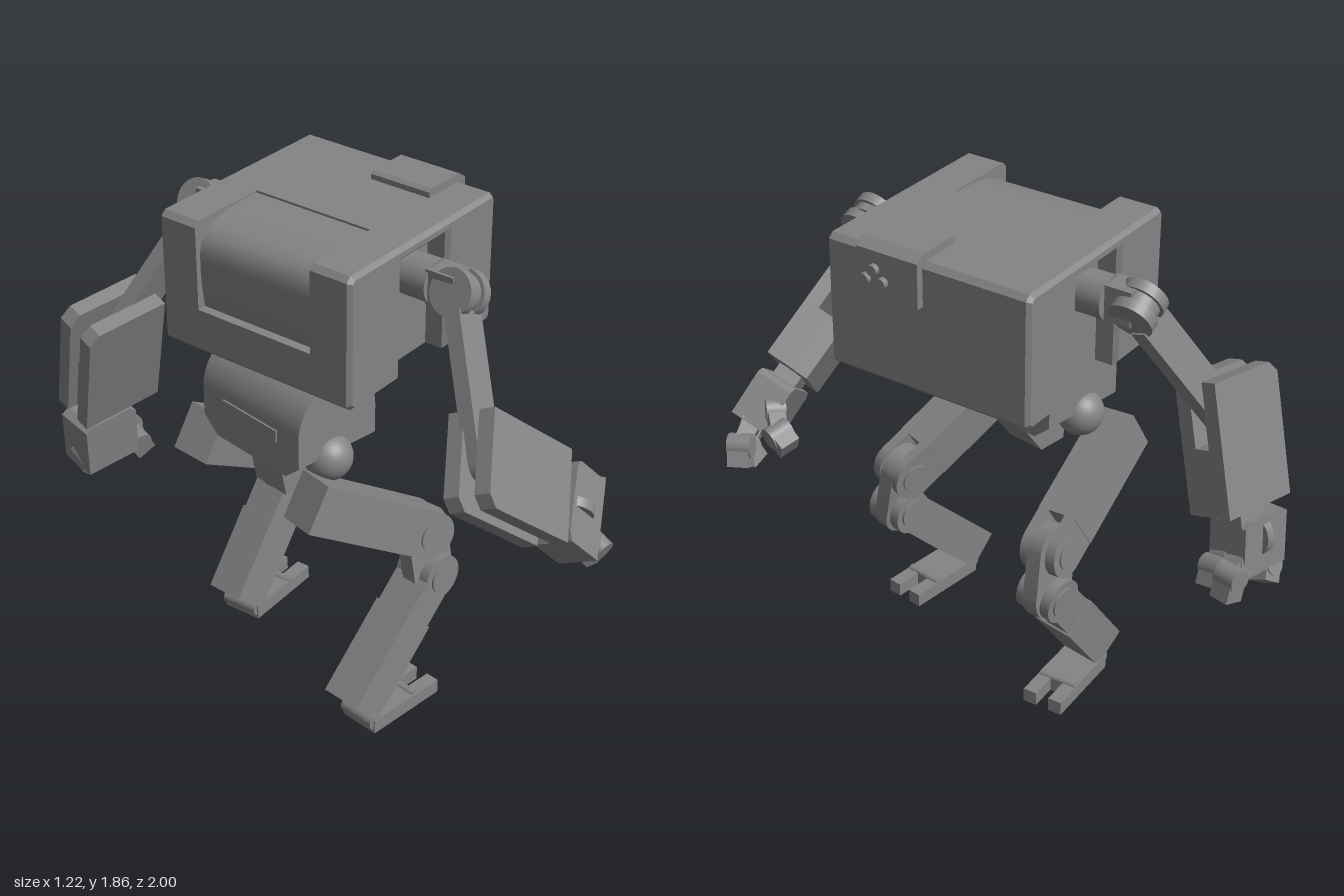
import * as THREE from 'three';
import { toCreasedNormals } from 'three/addons/utils/BufferGeometryUtils.js';

const grey = new THREE.MeshStandardMaterial({ color: 0x848484 });
const V = (p) => new THREE.Vector3(...p);

function add(parent, name, geo, pos = [0, 0, 0], rot = [0, 0, 0]) {
  const m = new THREE.Mesh(geo, grey);
  m.name = name;
  m.position.set(...pos);
  m.rotation.set(...rot);
  parent.add(m);
  return m;
}
const box = (x, y, z) => new THREE.BoxGeometry(x, y, z);
const cyl = (r, h, n = 28) => new THREE.CylinderGeometry(r, r, h, n);
// discs whose axis is local z or local x
const disc = (r, h) => cyl(r, h).rotateX(Math.PI / 2);
const discX = (r, h) => cyl(r, h).rotateZ(Math.PI / 2);

// extrude an outline along z from z0 to z1, with an optional chamfer kept inside the outline
function prism(outline, z0, z1, bevel = 0) {
  const shape = outline instanceof THREE.Shape ? outline : new THREE.Shape(outline.map(([x, y]) => new THREE.Vector2(x, y)));
  const geo = new THREE.ExtrudeGeometry(shape, {
    depth: z1 - z0 - 2 * bevel, bevelEnabled: bevel > 0, bevelSize: bevel, bevelThickness: bevel,
    bevelOffset: -bevel, bevelSegments: 1, curveSegments: 16,
  });
  return toCreasedNormals(geo.translate(0, 0, z0 + bevel), 0.45);
}

// group whose y axis runs along a direction and whose z axis is closest to a normal
function frame(parent, name, pos, along, normal) {
  const g = new THREE.Group();
  g.name = name;
  const y = V(along).normalize();
  const x = new THREE.Vector3().crossVectors(y, V(normal)).normalize();
  const z = new THREE.Vector3().crossVectors(x, y);
  g.quaternion.setFromRotationMatrix(new THREE.Matrix4().makeBasis(x, y, z));
  g.position.set(...pos);
  parent.add(g);
  return g;
}
const sub = (a, b) => a.map((v, i) => v - b[i]);
const dist = (a, b) => Math.hypot(...sub(a, b));

function buildTorso(root) {
  const t = new THREE.Group();
  t.name = 'torso';
  t.position.set(0.005, 0, -0.055);
  t.rotation.y = 0.155;
  root.add(t);
  const h = 0.41, c = 0.02, lo = 1.33, hi = 1.83;
  // middle slice with the almost flush curved hatch at the upper back
  const mid = new THREE.Shape();
  mid.moveTo(-h + c, lo);
  mid.lineTo(h - c, lo);
  mid.lineTo(h, lo + c);
  mid.lineTo(h, hi - c);
  mid.lineTo(h - c, hi);
  mid.lineTo(-0.09, hi);
  mid.lineTo(-0.09, hi - 0.008);
  mid.bezierCurveTo(-0.28, 1.822, -0.385, 1.81, -0.39, 1.7);
  mid.bezierCurveTo(-0.392, 1.64, -0.388, 1.57, -0.375, 1.5);
  mid.lineTo(-h, 1.5);
  mid.lineTo(-h, lo + c);
  add(t, 'torsoCore', prism(mid, -0.245, 0.245));
  const full = [[-h + c, lo], [h - c, lo], [h, lo + c], [h, hi - c], [h - c, hi], [-h + c, hi], [-h, hi - c], [-h, lo + c]];
  // side panel with the shoulder channel open at the bottom
  const s = 0.13;
  const panel = [[-h + c, lo], [-s, lo], [-s, 1.78], [s, 1.78], [s, lo], ...full.slice(1)];
  for (const k of [1, -1]) {
    add(t, 'torsoSide', prism(full, k > 0 ? 0.245 : -0.325, k > 0 ? 0.325 : -0.245));
    add(t, 'sidePanel', prism(panel, k > 0 ? 0.28 : -h, k > 0 ? h : -0.28, 0.015));
    add(t, 'shoulderAxle', disc(0.078, 0.14), [0, 1.67, k * 0.39]);
    add(t, 'shoulderClevis', box(0.1, 0.13, 0.11), [-0.005, 1.67, k * 0.505]);
  }
  // sensor box over the front top edge
  const hood = [[0.225, 1.8], [0.225, 1.85], [0.24, 1.86], [0.4, 1.86], [0.438, 1.835], [0.438, 1.67], [0.39, 1.67], [0.39, 1.8]];
  add(t, 'sensorBox', prism(hood, 0.01, 0.26));
  for (const [y, z] of [[1.77, 0.185], [1.73, 0.22], [1.73, 0.15]]) {
    add(t, 'sensorLens', discX(0.02, 0.03), [0.443, y, z]);
  }
}

function buildPelvis(root) {
  const p = new THREE.Group();
  p.name = 'pelvis';
  root.add(p);
  const s = new THREE.Shape();
  s.moveTo(-0.41, 1.06);
  s.lineTo(-0.05, 1.06);
  s.lineTo(-0.05, 1.17);
  s.absarc(-0.23, 1.17, 0.18, 0, Math.PI, false);
  add(p, 'pelvisShell', prism(s, -0.26, 0.24));
  const base = [[-0.24, 1.06], [-0.17, 1.0], [0.19, 1.0], [0.26, 1.06]];
  add(p, 'pelvisBase', prism(base, -0.41, -0.05), [0, 0, 0], [0, Math.PI / 2, 0]);
  for (const x of [-0.411, -0.049]) add(p, 'pelvisVent', box(0.012, 0.045, 0.28), [x, 1.145, -0.01]);
  add(p, 'tailBlock', prism([[-0.32, 0.83], [-0.2, 0.83], [-0.12, 0.94], [-0.12, 1.02], [-0.34, 1.02], [-0.34, 0.94]], -0.09, 0.07));
}

function buildFinger(root, base, mid, tip, normal) {
  const g = new THREE.Group();
  g.name = 'finger';
  root.add(g);
  [[base, mid, 0.065], [mid, tip, 0.08]].forEach(([a, b, w]) => {
    const f = frame(g, 'fingerSegment', a, sub(b, a), normal);
    add(f, 'fingerBar', box(w, dist(a, b) + 0.025, w), [0, dist(a, b) / 2, 0]);
    add(f, 'knuckle', disc(0.045, w + 0.01));
  });
}

function buildArm(root, a) {
  const g = new THREE.Group();
  g.name = a.name;
  root.add(g);
  // upper arm, hinged on discs across its width
  const len = dist(a.shoulder, a.elbow);
  const u = frame(g, 'upperArm', a.shoulder, sub(a.elbow, a.shoulder), a.normal);
  add(u, 'upperArmBar', box(0.135, len - 0.06, 0.06), [0, len / 2 + 0.03, 0]);
  add(u, 'elbowDisc', disc(0.065, 0.055), [0, len, 0]);
  add(u, 'shoulderHub', discX(0.07, 0.11));
  for (const x of [-0.04, 0.04]) add(u, 'shoulderDisc', discX(0.083, 0.04), [x, 0, 0]);
  // forearm: two slabs around a slot, with a core in the lower half
  const f = frame(g, 'forearm', a.forearm, a.along, a.normal);
  const slab = [[-0.166, -0.245], [0.126, -0.245], [0.166, -0.205], [0.166, 0.245], [-0.166, 0.245]];
  add(f, 'outerSlab', prism(slab, 0.03, 0.09));
  add(f, 'innerSlab', prism(slab, -0.09, -0.03));
  add(f, 'forearmCore', box(0.29, 0.245, 0.064), [-0.021, 0.1215, 0]);
  add(f, 'wrist', box(0.13, 0.12, 0.1), [0, 0.27, 0]);
  // palm with a low curved fin on the outer side
  const [w, h, d] = a.palmSize;
  const p = frame(g, 'hand', a.palm, a.palmAlong, a.normal);
  const palm = [[-w / 2, -h / 2 + 0.02], [-w / 2 + 0.03, -h / 2], [w / 2 - 0.03, -h / 2], [w / 2, -h / 2 + 0.02], [w / 2, h / 2], [-w / 2, h / 2]];
  add(p, 'palm', prism(palm, -d / 2, d / 2));
  add(p, 'palmFin', discX(0.085, 0.035), [0, -0.02, a.outer * (d / 2 - 0.06)]);
  for (const pts of a.fingers) buildFinger(g, ...pts, a.normal);
}

function buildLeg(root, l) {
  const g = new THREE.Group();
  g.name = l.name;
  root.add(g);
  const n = [0, 0, 1];
  add(g, 'hipBall', new THREE.SphereGeometry(0.088, 28, 18), l.hip);
  // thigh
  const tl = dist(l.thigh, l.knee);
  const t = frame(g, 'thigh', l.thigh, sub(l.knee, l.thigh), n);
  add(t, 'thighBox', box(0.18, tl - 0.1, 0.155), [0, tl / 2 - 0.05, 0]);
  for (const z of [-0.055, 0.055]) {
    add(t, 'thighFork', box(0.18, 0.12, 0.04), [0, tl - 0.06, z]);
    add(t, 'kneeDisc', disc(0.09, 0.04), [0, tl, z]);
  }
  add(t, 'kneePin', disc(0.058, 0.165), [0, tl, 0]);
  // knee link
  const kl = dist(l.knee, l.knee2), s = new THREE.Shape();
  s.absarc(0, kl, 0.095, 0, Math.PI, false);
  s.absarc(0, 0, 0.095, Math.PI, 2 * Math.PI, false);
  const k = frame(g, 'kneeLink', l.knee, sub(l.knee2, l.knee), n);
  add(k, 'linkPlate', prism(s, -0.032, 0.032));
  // shin
  const sl = dist(l.knee2, l.ankle);
  const sh = frame(g, 'shin', l.knee2, sub(l.ankle, l.knee2), n);
  add(sh, 'shinUpper', box(0.14, 0.2, 0.15), [0, 0.17, 0]);
  add(sh, 'shinLower', box(0.155, sl - 0.18, 0.16), [0, sl / 2 + 0.09, 0]);
  for (const z of [-0.055, 0.055]) {
    add(sh, 'shinFork', box(0.14, 0.12, 0.04), [0, 0.06, z]);
    add(sh, 'kneeDisc', disc(0.085, 0.04), [0, 0, z]);
  }
  add(sh, 'kneePin', disc(0.058, 0.165));
  // foot with two toes
  const foot = new THREE.Group();
  foot.name = 'foot';
  foot.position.set(...l.foot);
  foot.rotation.y = l.footYaw;
  g.add(foot);
  add(foot, 'sole', box(0.23, 0.058, 0.16), [-0.05, 0.029, 0]);
  for (const z of [-0.053, 0.053]) add(foot, 'toe', box(0.12, 0.055, 0.054), [0.11, 0.0275, z]);
  add(foot, 'toeHinge', disc(0.016, 0.15), [0.05, 0.052, 0]);
  add(foot, 'ankleHinge', disc(0.03, 0.15), [-0.155, 0.045, 0]);
}

export function createModel() {
  const root = new THREE.Group();
  root.name = 'robot';
  buildTorso(root);
  buildPelvis(root);
  buildArm(root, {
    name: 'bentArm', shoulder: [0.08, 1.665, 0.5], elbow: [-0.09, 1.21, 0.79], normal: [0.286, 0.42, 0.86],
    forearm: [0.012, 1.112, 0.818], along: [0.763, -0.643, 0.06], outer: 1,
    palm: [0.3, 0.86, 0.85], palmAlong: [0.65, -0.7, 0.1], palmSize: [0.3, 0.2, 0.15],
    fingers: [
      [[0.37, 0.9, 0.75], [0.42, 0.85, 0.67], [0.42, 0.82, 0.62]],
      [[0.43, 0.85, 0.81], [0.53, 0.81, 0.76], [0.555, 0.75, 0.74]],
      [[0.32, 0.76, 0.91], [0.41, 0.69, 0.89], [0.39, 0.64, 0.87]],
    ],
  });
  buildArm(root, {
    name: 'hangingArm', shoulder: [-0.09, 1.66, -0.605], elbow: [-0.41, 1.15, -0.775], normal: [-0.01, -0.3, 0.95],
    forearm: [-0.42, 1.09, -0.79], along: [0.11, -0.95, -0.3], outer: -1,
    palm: [-0.43, 0.71, -0.88], palmAlong: [0.08, -0.98, -0.1], palmSize: [0.23, 0.22, 0.16],
    fingers: [
      [[-0.5, 0.63, -0.9], [-0.48, 0.59, -0.93], [-0.45, 0.55, -0.95]],
      [[-0.33, 0.66, -0.92], [-0.26, 0.65, -0.94], [-0.24, 0.58, -0.94]],
      [[-0.34, 0.65, -0.85], [-0.29, 0.63, -0.85], [-0.26, 0.58, -0.86]],
    ],
  });
  buildLeg(root, {
    name: 'forwardSideLeg', hip: [-0.25, 1.035, 0.215], thigh: [-0.415, 0.95, 0.28], knee: [0.06, 0.66, 0.375],
    knee2: [0.07, 0.485, 0.4], ankle: [-0.335, 0.095, 0.425], foot: [-0.145, 0, 0.435], footYaw: 0.03,
  });
  buildLeg(root, {
    name: 'rearSideLeg', hip: [-0.25, 1.035, -0.23], thigh: [-0.4, 0.95, -0.31], knee: [0.07, 0.67, -0.39],
    knee2: [0.105, 0.5, -0.405], ankle: [-0.21, 0.09, -0.36], foot: [-0.025, 0, -0.39], footYaw: 0.2,
  });
  return root;
}
